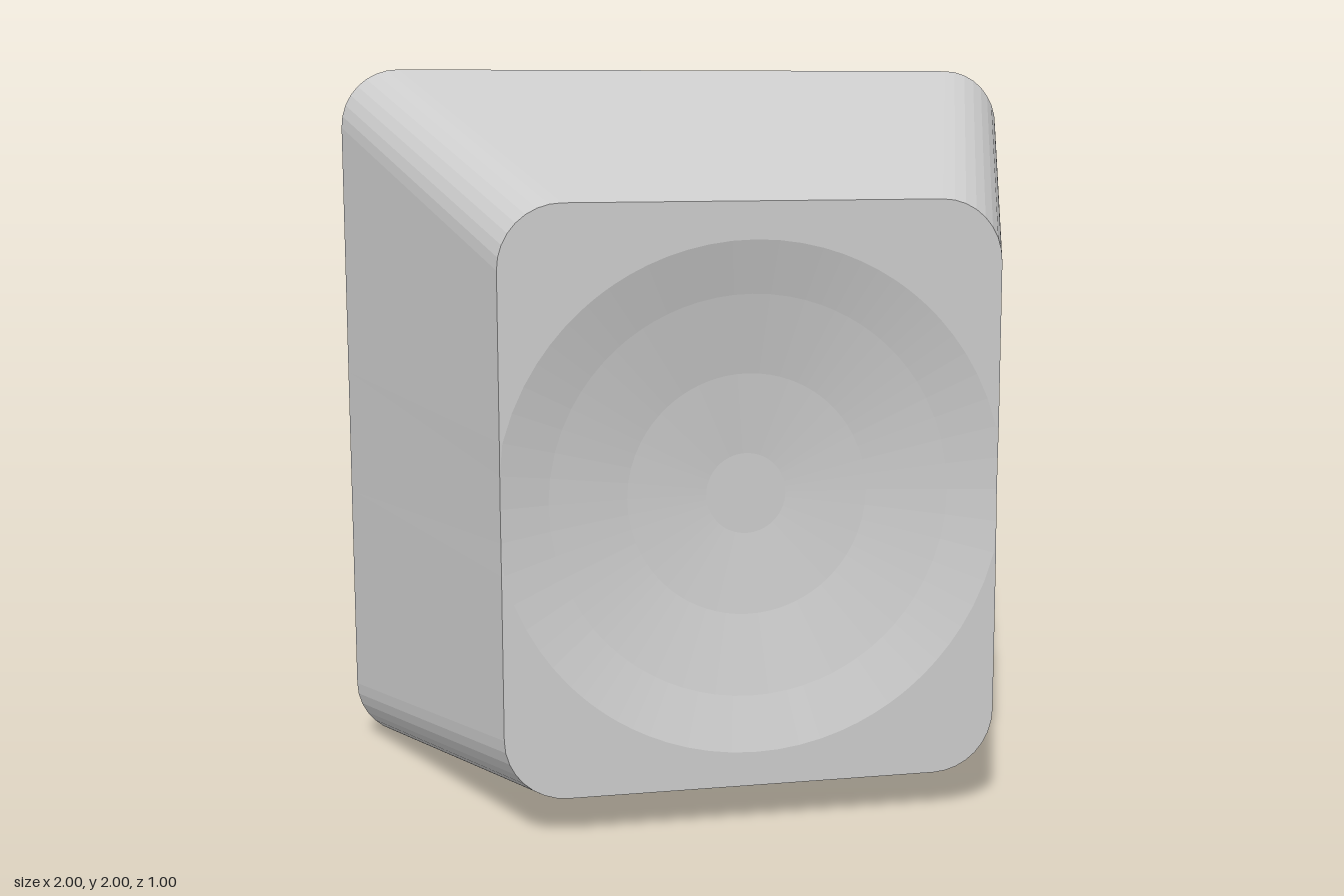
import * as THREE from 'three';

const CORNER = 8, EDGE = 14;   // segments per rounded corner and per straight side
const DISH_Y = 0.88, DISH_R = 0.68;
// Stepped radii and depths of the finger dish
const DISH = [[0, 0.108], [0.108, 0.108], [0.324, 0.086], [0.537, 0.042], [DISH_R, 0]];

// Rounded rectangle as a counter-clockwise loop seen from +z
function roundedLoop(halfW, y0, y1, r, z) {
  const corners = [[halfW - r, y1 - r], [r - halfW, y1 - r], [r - halfW, y0 + r], [halfW - r, y0 + r]];
  const pts = [];
  corners.forEach(([cx, cy], k) => {
    for (let i = 0; i <= CORNER; i++) {
      const a = (k + i / CORNER) * Math.PI / 2;
      pts.push(new THREE.Vector3(cx + r * Math.cos(a), cy + r * Math.sin(a), z));
    }
    // subdivide the straight side up to the next corner
    const from = pts[pts.length - 1], next = corners[(k + 1) % 4], a = (k + 1) * Math.PI / 2;
    const to = new THREE.Vector3(next[0] + r * Math.cos(a), next[1] + r * Math.sin(a), z);
    for (let i = 1; i < EDGE; i++) pts.push(from.clone().lerp(to, i / EDGE));
  });
  return pts;
}

// Skin a series of loops with equal point counts
function loft(loops) {
  const n = loops[0].length, pos = [], index = [];
  loops.forEach(loop => loop.forEach(p => pos.push(p.x, p.y, p.z)));
  for (let k = 0; k < loops.length - 1; k++) {
    for (let i = 0; i < n; i++) {
      const j = (i + 1) % n, a = k * n + i, b = a + n, c = k * n + j, d = c + n;
      index.push(a, b, d, a, d, c);
    }
  }
  const g = new THREE.BufferGeometry();
  g.setAttribute('position', new THREE.Float32BufferAttribute(pos, 3));
  g.setIndex(index);
  g.computeVertexNormals();
  return g;
}

// Depth of the dish at a given radius
function dishDepth(r) {
  for (let k = 1; k < DISH.length; k++) {
    const [r0, d0] = DISH[k - 1], [r1, d1] = DISH[k];
    if (r <= r1) return d0 + (d1 - d0) * (r - r0) / (r1 - r0);
  }
  return 0;
}

export function createModel() {
  const group = new THREE.Group();
  const material = new THREE.MeshStandardMaterial({ color: 0xcccccc, flatShading: true });
  const add = (name, geometry) => {
    const mesh = new THREE.Mesh(geometry, material);
    mesh.name = name;
    group.add(mesh);
    return mesh;
  };

  // Front rim, dipping slightly where the dish cuts its sides
  const radius = p => Math.hypot(p.x, p.y - DISH_Y);
  const front = roundedLoop(0.665, 0.108, 1.658, 0.167, 0.5);
  front.forEach(p => { p.z -= dishDepth(radius(p)); });
  const back = roundedLoop(1, 0, 2, 0.167, -0.5);
  const opening = roundedLoop(0.833, 0.167, 1.833, 0.083, -0.5);
  const ceiling = roundedLoop(0.5, 0.27, 1.49, 0.083, 0.389);

  // Dish rings lie on rays from the dish centre to the front rim
  const rings = DISH.map(([r]) => front.map(p => {
    const rho = radius(p), s = Math.min(r, rho);
    return new THREE.Vector3(p.x * s / rho, DISH_Y + (p.y - DISH_Y) * s / rho, 0.5 - dishDepth(s));
  }));
  const centre = ceiling.map(() => new THREE.Vector3(0, 0.88, 0.389));

  add('dishedFace', loft([...rings, front]));
  add('outerWall', loft([front, back]));
  add('backRim', loft([back, opening]));
  add('cavity', loft([opening, ceiling, centre]));

  // Central post, flush with the back rim
  const stem = add('stem', new THREE.CylinderGeometry(0.305, 0.305, 0.889, 40));
  stem.rotation.x = Math.PI / 2;
  stem.position.set(0, 1, -0.0555);
  return group;
}
